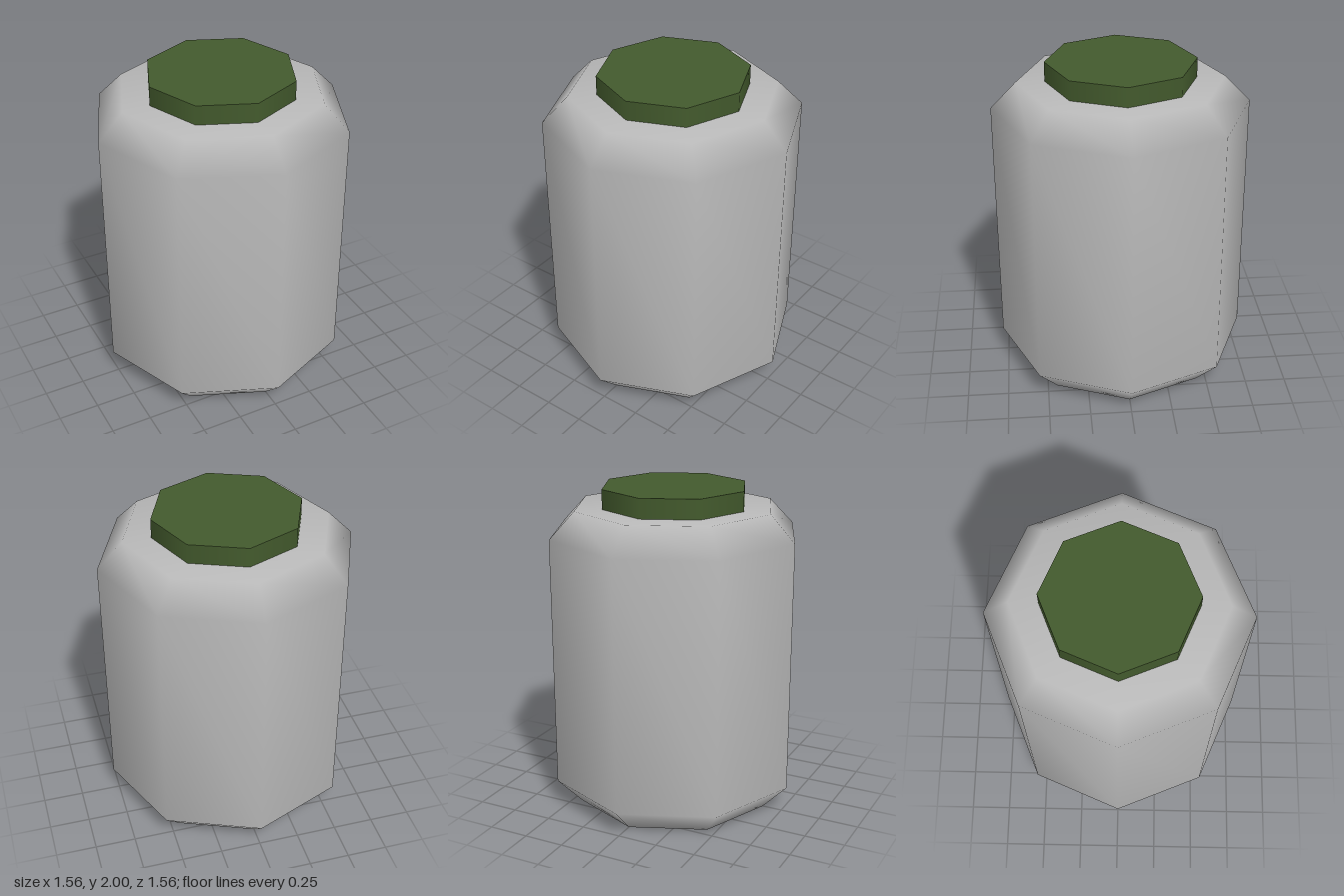
import * as THREE from 'three';
import { mergeVertices } from 'three/addons/utils/BufferGeometryUtils.js';

const SIDES = 8;

export function createModel() {
  const model = new THREE.Group();
  model.name = 'jar';

  const bodyGrey = new THREE.MeshStandardMaterial({ color: 0xb8b8b8 });
  bodyGrey.name = 'body grey';
  const lidGreen = new THREE.MeshStandardMaterial({ color: 0x435a2d });
  lidGreen.name = 'lid green';

  // Octagonal body with bevelled rims, smooth-shaded over every edge
  const profile = [
    [0, 0], [0.625, 0], [0.78, 0.16], [0.78, 1.72], [0.625, 1.88], [0, 1.88],
  ].map(([r, y]) => new THREE.Vector2(r, y));
  let bodyGeometry = new THREE.LatheGeometry(profile, SIDES);
  bodyGeometry.deleteAttribute('normal');
  bodyGeometry.deleteAttribute('uv');
  bodyGeometry = mergeVertices(bodyGeometry, 1e-4);
  bodyGeometry.computeVertexNormals();
  const body = new THREE.Mesh(bodyGeometry, bodyGrey);
  body.name = 'body';
  model.add(body);

  // Octagonal lid with flat top and smooth rim
  const lid = new THREE.Mesh(new THREE.CylinderGeometry(0.454, 0.454, 0.12, SIDES), lidGreen);
  lid.name = 'lid';
  lid.position.y = 1.94;
  model.add(lid);

  return model;
}
